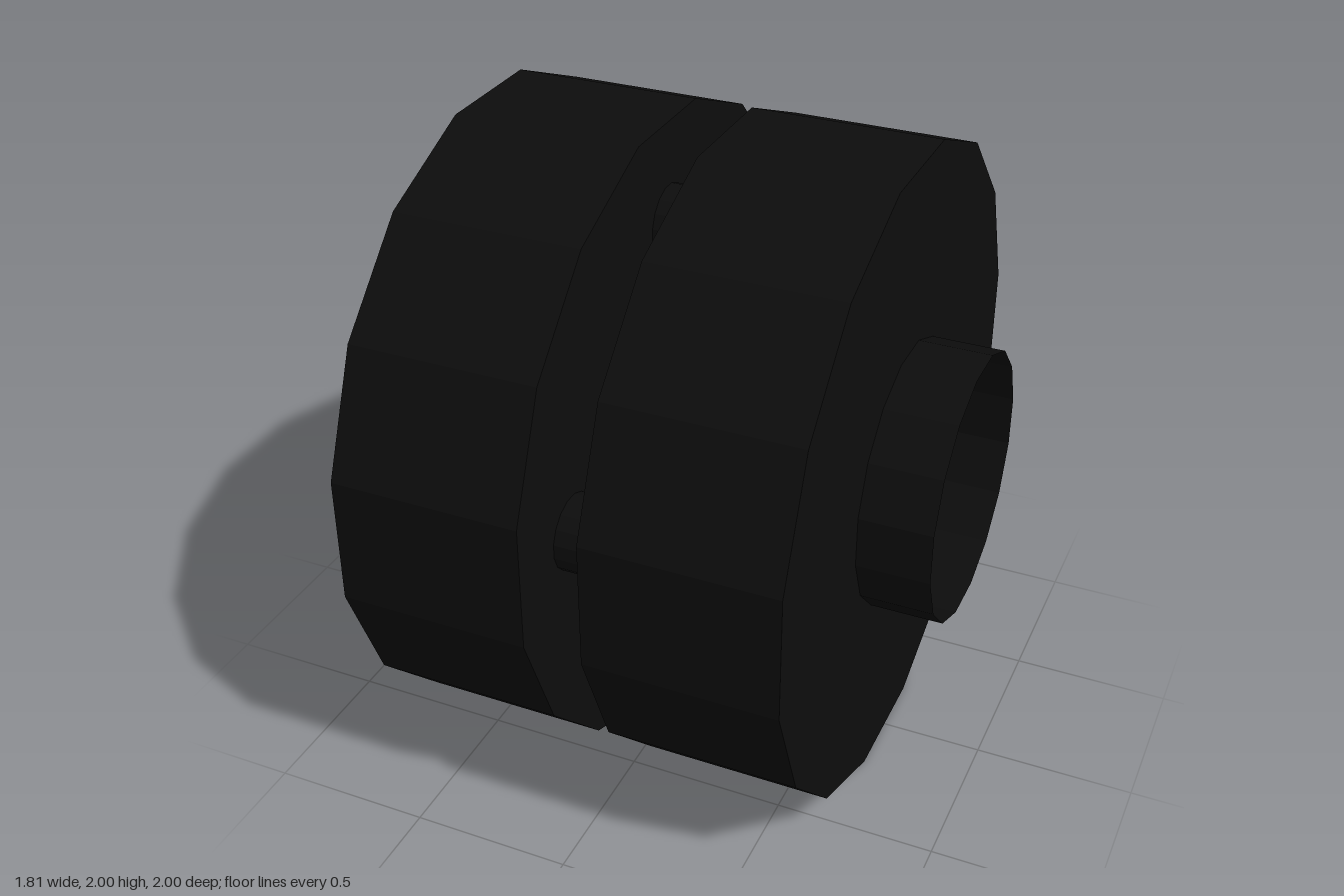
import * as THREE from 'three';

const SIDES = 16;

export function createModel() {
  const model = new THREE.Group();
  model.name = 'twinWheel';

  const rubber = new THREE.MeshStandardMaterial({ color: 0x0d0d0d, flatShading: true });
  rubber.name = 'black rubber';
  const metal = new THREE.MeshStandardMaterial({ color: 0x0d0d0d, flatShading: true, side: THREE.DoubleSide });
  metal.name = 'black tube';

  // Cylinder along x with flat facets facing up, down, front and back
  function drum(name, apothem, length, x, y, z, material, open = false) {
    const radius = apothem / Math.cos(Math.PI / SIDES);
    const geometry = new THREE.CylinderGeometry(radius, radius, length, SIDES, 1, open);
    geometry.rotateY(Math.PI / SIDES);
    geometry.rotateZ(Math.PI / 2);
    const mesh = new THREE.Mesh(geometry, material);
    mesh.name = name;
    mesh.position.set(x, y, z);
    model.add(mesh);
  }

  // Two solid wheels side by side
  drum('leftWheel', 1, 0.59, 0.385, 1, 0, rubber);
  drum('rightWheel', 1, 0.59, -0.385, 1, 0, rubber);

  // Open-ended axle tube running through both wheels
  drum('axleTube', 0.41, 1.81, 0, 1, 0, metal, true);

  // Four pins joining the wheels
  for (let i = 0; i < 4; i++) {
    const a = (i * Math.PI) / 2;
    drum('pin' + (i + 1), 0.115, 0.2, 0, 1 + 0.685 * Math.cos(a), 0.685 * Math.sin(a), rubber);
  }

  return model;
}
